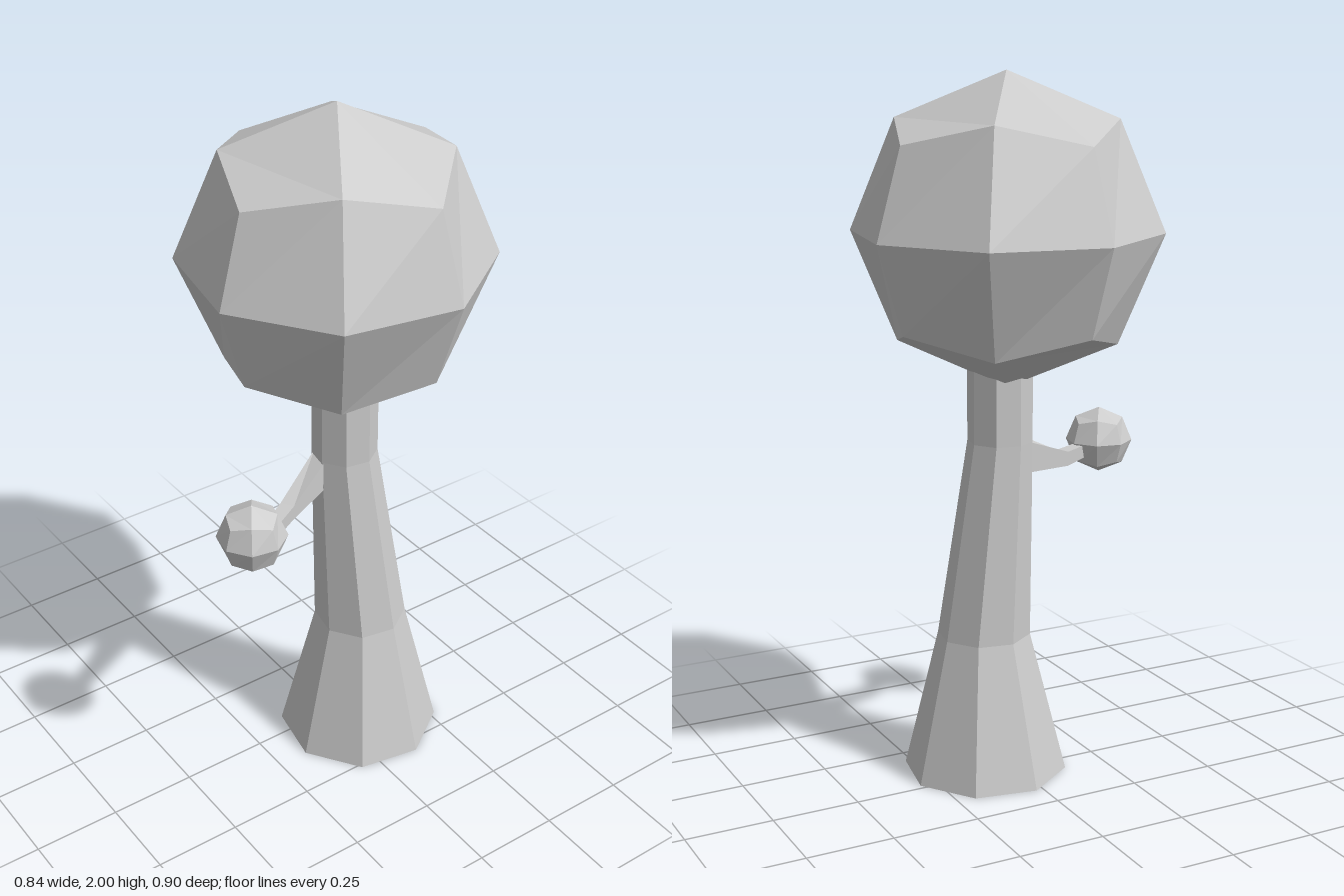
import * as THREE from 'three';

const TURN = THREE.MathUtils.degToRad(33); // shared twist of crown, bud and trunk
const material = new THREE.MeshStandardMaterial({ color: 0xcccccc, flatShading: true });

// Skin a stack of equal-length rings and close both ends
function loft(rings, name) {
  const n = rings[0].length;
  const index = [];
  for (let i = 0; i < rings.length - 1; i++) {
    for (let j = 0; j < n; j++) {
      const k = (j + 1) % n;
      const a = i * n + j, b = i * n + k, c = b + n, d = a + n;
      index.push(a, d, c, a, c, b);
    }
  }
  const last = (rings.length - 1) * n;
  for (let j = 1; j < n - 1; j++) {
    index.push(0, j, j + 1, last, last + j + 1, last + j);
  }
  let geometry = new THREE.BufferGeometry();
  geometry.setAttribute('position', new THREE.Float32BufferAttribute(rings.flat(2), 3));
  geometry.setIndex(index);
  geometry = geometry.toNonIndexed();
  geometry.computeVertexNormals();
  const mesh = new THREE.Mesh(geometry, material);
  mesh.name = name;
  return mesh;
}

// Low-poly foliage ball: a 2x2x2 box with every vertex pushed out to a sphere
function foliage(name, radius, x, y, z) {
  const box = new THREE.BoxGeometry(1, 1, 1, 2, 2, 2);
  const p = box.attributes.position;
  const v = new THREE.Vector3();
  for (let i = 0; i < p.count; i++) {
    v.fromBufferAttribute(p, i).setLength(radius);
    p.setXYZ(i, v.x, v.y, v.z);
  }
  const geometry = box.toNonIndexed();
  geometry.computeVertexNormals();
  const mesh = new THREE.Mesh(geometry, material);
  mesh.name = name;
  mesh.position.set(x, y, z);
  mesh.rotation.y = -TURN;
  return mesh;
}

// Horizontal eight-sided trunk ring
function trunkRing([x, y, z, r]) {
  return Array.from({ length: 8 }, (_, j) => {
    const a = TURN + (j * Math.PI) / 4;
    return [x + r * Math.cos(a), y, z + r * Math.sin(a)];
  });
}

// Four-cornered branch section from its left, right, bottom and top
function branchRing([x0, x1, y0, y1, z0, z1]) {
  return [[x0, y0, z0], [x0, y1, z0], [x1, y1, z1], [x1, y0, z1]];
}

export function createModel() {
  const tree = new THREE.Group();
  tree.name = 'tree';

  // Flared trunk: centre x, height, centre z, radius
  tree.add(loft([
    [0.065, 0, -0.07, 0.235],
    [0.065, 0.41, -0.072, 0.133],
    [0.039, 0.98, -0.032, 0.092],
    [0.039, 1.25, -0.032, 0.092],
  ].map(trunkRing), 'trunk'));

  // Branch growing from the front face of the trunk
  tree.add(loft([
    [-0.012, 0.06, 0.89, 0.978, 0.035, 0.05],
    [0.07, 0.105, 0.87, 0.912, 0.205, 0.185],
    [0.135, 0.17, 0.875, 0.91, 0.31, 0.30],
  ].map(branchRing), 'branch'));

  tree.add(foliage('crown', 0.43, 0, 1.57, -0.03));
  tree.add(foliage('branchFoliage', 0.097, 0.155, 0.915, 0.355));
  return tree;
}
